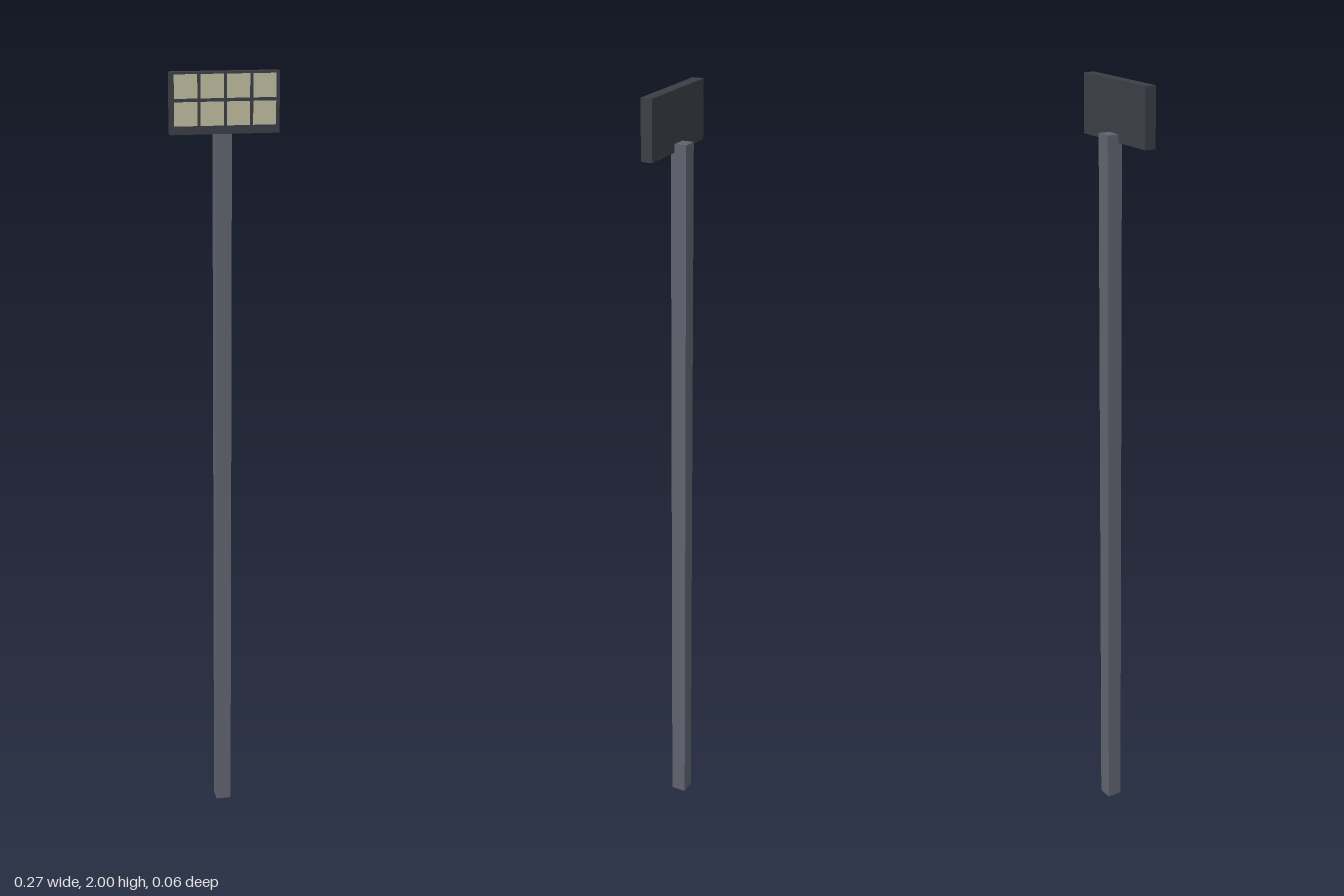
import * as THREE from 'three';

export function createModel() {
  const model = new THREE.Group();
  model.name = 'floodlight';
  const poleMat = new THREE.MeshStandardMaterial({ color: 0x5f636e });
  const panelMat = new THREE.MeshStandardMaterial({ color: 0x3a3e45 });
  const lampMat = new THREE.MeshStandardMaterial({ color: 0xc0bca0 });

  // Box given by its size and centre
  function box(name, material, size, centre, parent = model) {
    const mesh = new THREE.Mesh(new THREE.BoxGeometry(...size), material);
    mesh.name = name;
    mesh.position.set(...centre);
    parent.add(mesh);
    return mesh;
  }

  // Square mast, its top overlapping the back of the panel
  box('pole', poleMat, [0.04, 1.875, 0.04], [0, 0.9375, -0.01]);

  // Lamp housing
  box('lampPanel', panelMat, [0.266, 0.145, 0.029], [0, 1.9275, 0.0145]);

  // Two rows of four square lamps, just proud of the housing
  const lamps = new THREE.Group();
  lamps.name = 'lamps';
  model.add(lamps);
  const pitch = 0.064;
  for (let row = 0; row < 2; row++) {
    for (let col = 0; col < 4; col++) {
      box('lamp', lampMat, [0.056, 0.056, 0.004],
        [(col - 1.5) * pitch, 1.967 - row * pitch, 0.028], lamps);
    }
  }
  return model;
}
